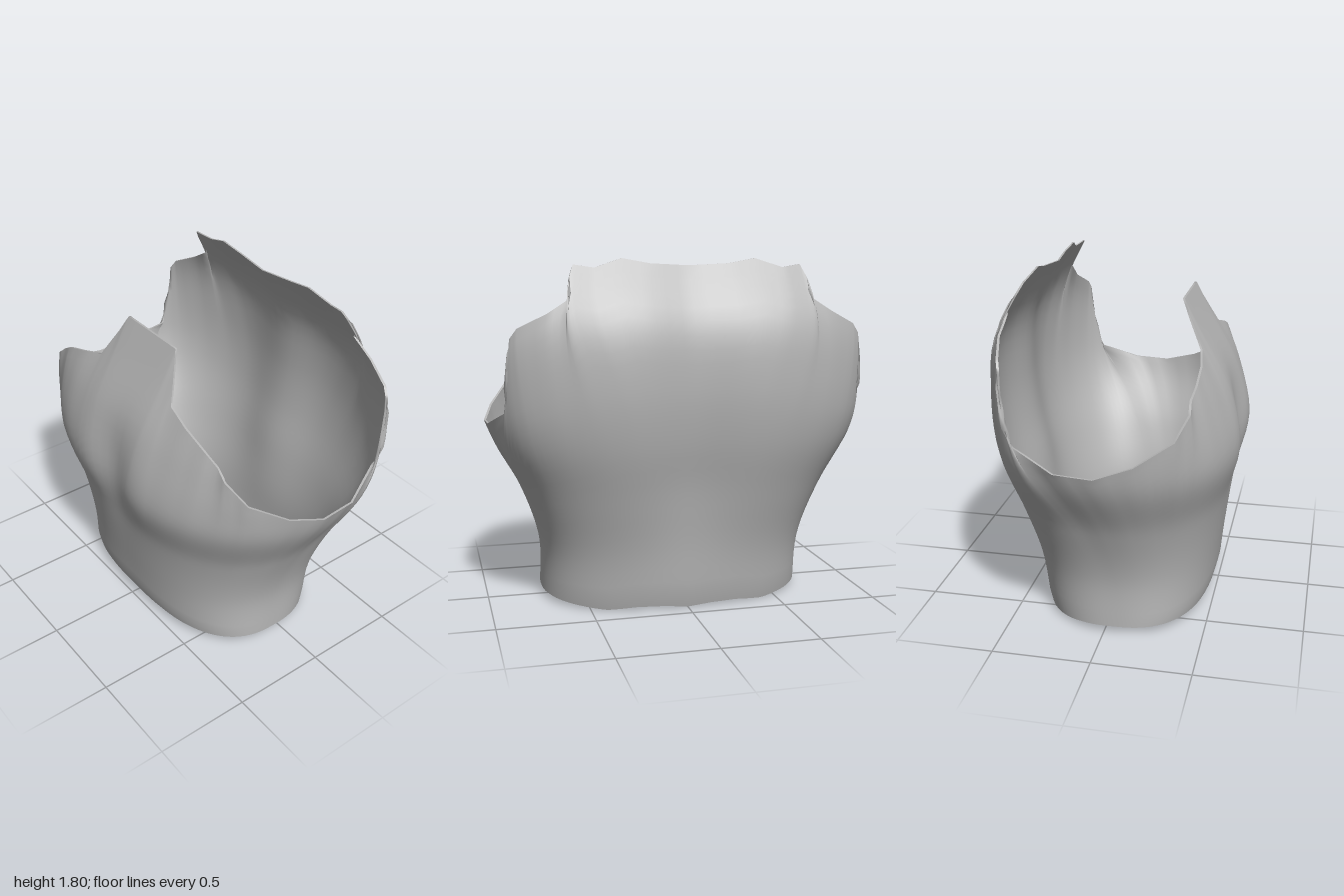
import * as THREE from 'three';

// Half of the upper edge, front centre to back centre: x, y, z
const RIM = [
  [0, 1.64, .31], [.2, 1.64, .31], [.235, 1.56, .345], [.31, 1.41, .42], [.45, 1.37, .44], [.6, 1.32, .44],
  [.68, 1.27, .425], [.74, 1.22, .43], [.85, 1.12, .375], [.95, 1.02, .2], [.995, .965, .02], [.99, .975, -.17],
  [.91, 1.06, -.38], [.908, 1.2, -.43], [.895, 1.42, -.445], [.86, 1.47, -.46], [.72, 1.54, -.495],
  [.602, 1.615, -.49], [.608, 1.7, -.45], [.58, 1.77, -.41], [.48, 1.755, -.435], [.34, 1.8, -.41],
  [.2, 1.775, -.42], [0, 1.765, -.4],
].map(p => new THREE.Vector3(...p));

// Half width, front depth and back depth at every 0.3 of height
const BODY = new THREE.CatmullRomCurve3([
  [.71, .485, .415], [.715, .515, .455], [.81, .56, .53], [.955, .635, .605],
  [1, .56, .635], [1, .4, .6], [.95, .25, .43],
].map(p => new THREE.Vector3(...p)), false, 'catmullrom', .5);

// Lower edge: height by fraction of the way round from front to back
const HEM = [.06, .058, .055, .045, .04, .04, .04, .035, .02, .003, .02, .018, .005];

const { lerp, smoothstep } = THREE.MathUtils;
const bell = (v, width) => Math.exp(-((v / width) ** 2));
const centreZ = y => lerp(.06, -.08, Math.min(1, y));

// Point on the torso at a height and an angle round from the front
function bodyPoint(y, angle) {
  const s = BODY.getPoint(THREE.MathUtils.clamp(y / 1.8, 0, 1));
  const zc = centreZ(y), c = Math.cos(angle), front = c > 0;
  const depth = front ? s.y - zc : s.z + zc;
  const n = lerp(2.5, front ? 2.3 : 2.8, Math.min(1, y));
  const r = (Math.abs(Math.sin(angle) / s.x) ** n + Math.abs(c / depth) ** n) ** (-1 / n);
  const p = new THREE.Vector3(r * Math.sin(angle), y, zc + r * c);
  // Hollow between the chest muscles, and the long hollow of the spine
  p.z += front ? -.06 * bell(p.x, .16) * bell(y - .95, .25)
    : .055 * bell(p.x, .24) * smoothstep(y, .1, .8) * -c;
  return p;
}

// One vertical line of points from the hem to the upper edge
function column(u, rows) {
  const k = u * (RIM.length - 1), i = Math.min(RIM.length - 2, Math.floor(k));
  const rim = RIM[i].clone().lerp(RIM[i + 1], k - i);
  const h = u * (HEM.length - 1), j = Math.min(HEM.length - 2, Math.floor(h));
  const low = lerp(HEM[j], HEM[j + 1], h - j);
  const rimAngle = Math.atan2(rim.x, rim.z - centreZ(rim.y));
  const fix = rim.clone().sub(bodyPoint(rim.y, rimAngle));
  const points = [];
  for (let r = 0; r <= rows; r++) {
    const t = r / rows;
    // Lines lean towards their rim point late, so the notches stay unfolded
    const p = bodyPoint(lerp(low, rim.y, t), lerp(u * Math.PI, rimAngle, t ** 2.5));
    p.addScaledVector(fix, t ** 4);
    if (r === 0) p.z *= .98; // hem turns in slightly
    points.push(p);
  }
  return points;
}

function shellGeometry() {
  const half = (RIM.length - 1) * 3, cols = half * 2, rows = 26, thick = .012;
  const pos = [], index = [];
  for (let c = 0; c < cols; c++) {
    const side = c <= half ? 1 : -1;
    const u = (side > 0 ? c : cols - c) / half;
    for (const p of column(u, rows)) pos.push(p.x * side, p.y, p.z);
  }
  const at = (c, r) => (c % cols) * (rows + 1) + r;
  for (let c = 0; c < cols; c++) for (let r = 0; r < rows; r++) {
    const a = at(c, r), b = at(c + 1, r), d = at(c, r + 1), e = at(c + 1, r + 1);
    index.push(a, b, e, a, e, d);
  }
  const make = (p, ids) => {
    const g = new THREE.BufferGeometry();
    g.setAttribute('position', new THREE.Float32BufferAttribute(p, 3));
    g.setIndex(ids);
    g.computeVertexNormals();
    return g;
  };
  const outer = make(pos, index);

  // Lining: the same surface moved inwards and turned round
  const normals = outer.attributes.normal.array;
  const inPos = pos.map((v, i) => i % 3 === 1 ? v : v - normals[i] * thick);
  const inIndex = [];
  for (let i = 0; i < index.length; i += 3) inIndex.push(index[i], index[i + 2], index[i + 1]);
  const lining = make(inPos, inIndex);

  // Narrow edge joining both layers
  const edge = row => {
    const p = [], ids = [];
    for (let c = 0; c < cols; c++) {
      const k = at(c, row) * 3, n = ((c + 1) % cols) * 2;
      p.push(...pos.slice(k, k + 3), ...inPos.slice(k, k + 3));
      const o = c * 2;
      if (row) ids.push(o, n, n + 1, o, n + 1, o + 1);
      else ids.push(o, n + 1, n, o, o + 1, n + 1);
    }
    return make(p, ids);
  };
  return { outer, lining, upperEdge: edge(rows), lowerEdge: edge(0) };
}

export function createModel() {
  const grey = new THREE.MeshStandardMaterial({ color: 0xb4b4b4, side: THREE.DoubleSide });
  grey.name = 'plain grey';
  const model = new THREE.Group();
  model.name = 'torsoShell';
  for (const [name, geometry] of Object.entries(shellGeometry())) {
    const mesh = new THREE.Mesh(geometry, grey);
    mesh.name = name;
    model.add(mesh);
  }
  return model;
}
